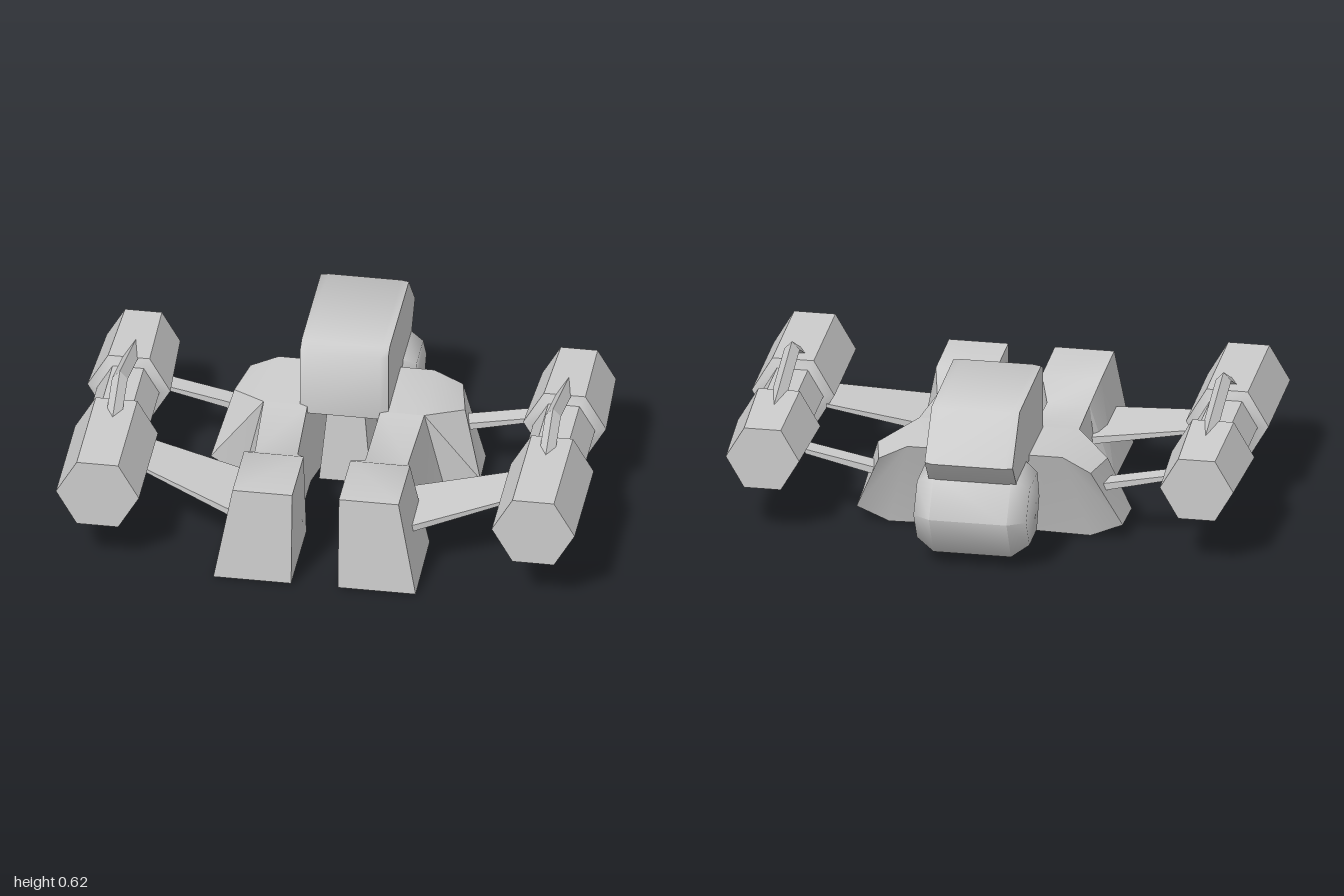
import * as THREE from 'three';
import { toCreasedNormals } from 'three/addons/utils/BufferGeometryUtils.js';

const material = new THREE.MeshStandardMaterial({ color: 0xcccccc, side: THREE.DoubleSide });

// Solid through matching convex cross-sections, turned to face outward.
// open lists the section edges (by index) or the 'end' cap left without a surface.
function loft(name, sections, crease = 0.5, open = []) {
  const tris = [], n = sections[0].length, last = sections[sections.length - 1];
  const add = (a, b, c, key) => tris.push({ points: [a, b, c], key });
  for (let s = 0; s < sections.length - 1; s++) {
    const a = sections[s], b = sections[s + 1];
    for (let i = 0; i < n; i++) {
      const j = (i + 1) % n;
      add(a[i], a[j], b[j], i);
      add(a[i], b[j], b[i], i);
    }
  }
  for (let i = 1; i < n - 1; i++) {
    add(sections[0][0], sections[0][i + 1], sections[0][i], 'start');
    add(last[0], last[i], last[i + 1], 'end');
  }
  let volume = 0;
  const [u, v, w] = [0, 1, 2].map(() => new THREE.Vector3());
  for (const { points: [a, b, c] } of tris) volume += u.set(...a).dot(v.set(...b).cross(w.set(...c)));
  if (volume < 0) tris.forEach(t => t.points.reverse());
  const shown = tris.filter(t => !open.includes(t.key)).map(t => t.points);
  const g = new THREE.BufferGeometry();
  g.setAttribute('position', new THREE.Float32BufferAttribute(shown.flat(2), 3));
  const mesh = new THREE.Mesh(toCreasedNormals(g, crease), material);
  mesh.name = name;
  return mesh;
}

// Four-cornered section: inner/outer x at bottom and top, heights, z at bottom and top
const quad = (xib, xob, xit, xot, yb, yt, zb, zt) =>
  [[xib, yb, zb], [xob, yb, zb], [xot, yt, zt], [xit, yt, zt]];

// Everything that exists once per side; s is the sign of x
function buildSide(s) {
  const side = new THREE.Group();
  side.name = s > 0 ? 'leftSide' : 'rightSide';
  const add = (name, sections, crease, open) => side.add(
    loft(name, sections.map(sec => sec.map(([x, y, z]) => [s * x, y, z])), crease, open));

  // Prong: tall front block and waisted middle, hollow underneath
  add('prong', [
    quad(0.09, 0.39, 0.09, 0.32, 0.012, 0.395, 0.69, 0.665),
    quad(0.09, 0.385, 0.09, 0.32, 0.012, 0.395, 0.32, 0.39),
    quad(0.13, 0.33, 0.13, 0.295, 0.015, 0.33, 0.28, 0.28),
    quad(0.13, 0.39, 0.14, 0.31, 0.005, 0.36, -0.04, -0.02),
  ], 0.85, [0, 'end']);

  // Flared shoulder behind the prong, reaching under the cabin, also hollow underneath
  add('shoulder', [
    [[0.31, 0.36, -0.02], [0.14, 0.36, -0.02], [0.13, 0.005, -0.04],
      [0.39, 0.005, -0.04], [0.52, 0.065, -0.06], [0.445, 0.31, -0.16]],
    [[0.30, 0.37, -0.325], [0.08, 0.37, -0.325], [0.09, 0.012, -0.21],
      [0.39, 0.01, -0.22], [0.515, 0.065, -0.225], [0.41, 0.315, -0.33]],
  ], 0.5, [2, 3]);

  // Six-sided engine pod with a narrow waist, open along its flat underside
  const rings = [[0.67, 0.16], [0.21, 0.16], [0.195, 0.12], [-0.07, 0.12], [-0.088, 0.16], [-0.44, 0.142]];
  add('enginePod', rings.map(([z, r]) => Array.from({ length: 6 }, (_, k) =>
    [0.84 + r * Math.cos(k * Math.PI / 3), 0.325 + r * Math.sin(k * Math.PI / 3), z])), 0.5, [4]);

  // Ridged bent fin over the pod
  add('podFin', [[0.36, 0.45], [0.16, 0.56], [-0.27, 0.445]].map(([z, y]) =>
    [[0.835, y, z], [0.865, y - 0.033, z], [0.805, y - 0.033, z]]));

  // Thin struts from the prong to the pod
  add('frontStrut', [
    [[0.29, 0.18, 0.25], [0.29, 0.21, 0.25], [0.29, 0.21, 0.56], [0.29, 0.18, 0.56]],
    [[0.71, 0.278, 0.2], [0.71, 0.293, 0.2], [0.71, 0.293, 0.405], [0.71, 0.278, 0.405]],
  ]);
  add('rearStrut', [
    [[0.42, 0.205, -0.17], [0.42, 0.235, -0.17], [0.42, 0.235, -0.245], [0.42, 0.205, -0.245]],
    [[0.71, 0.275, -0.17], [0.71, 0.293, -0.17], [0.71, 0.293, -0.245], [0.71, 0.275, -0.245]],
  ]);
  return side;
}

// Side profile [z, y] repeated across x, scaled about a centre point
const across = (profile, [cz, cy], stations) => stations.map(([x, kz, ky]) =>
  profile.map(([z, y]) => [x, cy + (y - cy) * ky, cz + (z - cz) * kz]));

export function createModel() {
  const model = new THREE.Group();
  model.name = 'craft';
  model.add(buildSide(1), buildSide(-1));

  // Central hull joining the prongs, rising toward the back
  model.add(loft('centralHull', [
    quad(-0.1, 0.1, -0.07, 0.07, 0.015, 0.34, -0.045, -0.07),
    quad(-0.12, 0.12, -0.1, 0.1, 0.12, 0.36, -0.39, -0.39),
  ]));

  // Upper cabin with narrow bevels at the front and back
  const cabin = [[-0.012, 0.33], [-0.012, 0.605], [-0.055, 0.63], [-0.53, 0.63], [-0.685, 0.46], [-0.6, 0.36]];
  model.add(loft('cabin', across(cabin, [-0.35, 0.63],
    [[-0.17, 0.96, 1], [-0.14, 1, 1], [0.14, 1, 1], [0.17, 0.96, 1]]), 1.1));

  // Faceted rounded rear pod below the cabin
  const pod = [[-0.32, 0.22], [-0.39, 0.06], [-0.595, 0.06], [-0.69, 0.23], [-0.59, 0.38], [-0.37, 0.38]];
  model.add(loft('rearPod', across(pod, [-0.51, 0.225],
    [[-0.218, 0.76, 0.72], [-0.15, 1, 1], [0.15, 1, 1], [0.218, 0.76, 0.72]]), 1.15));

  return model;
}
